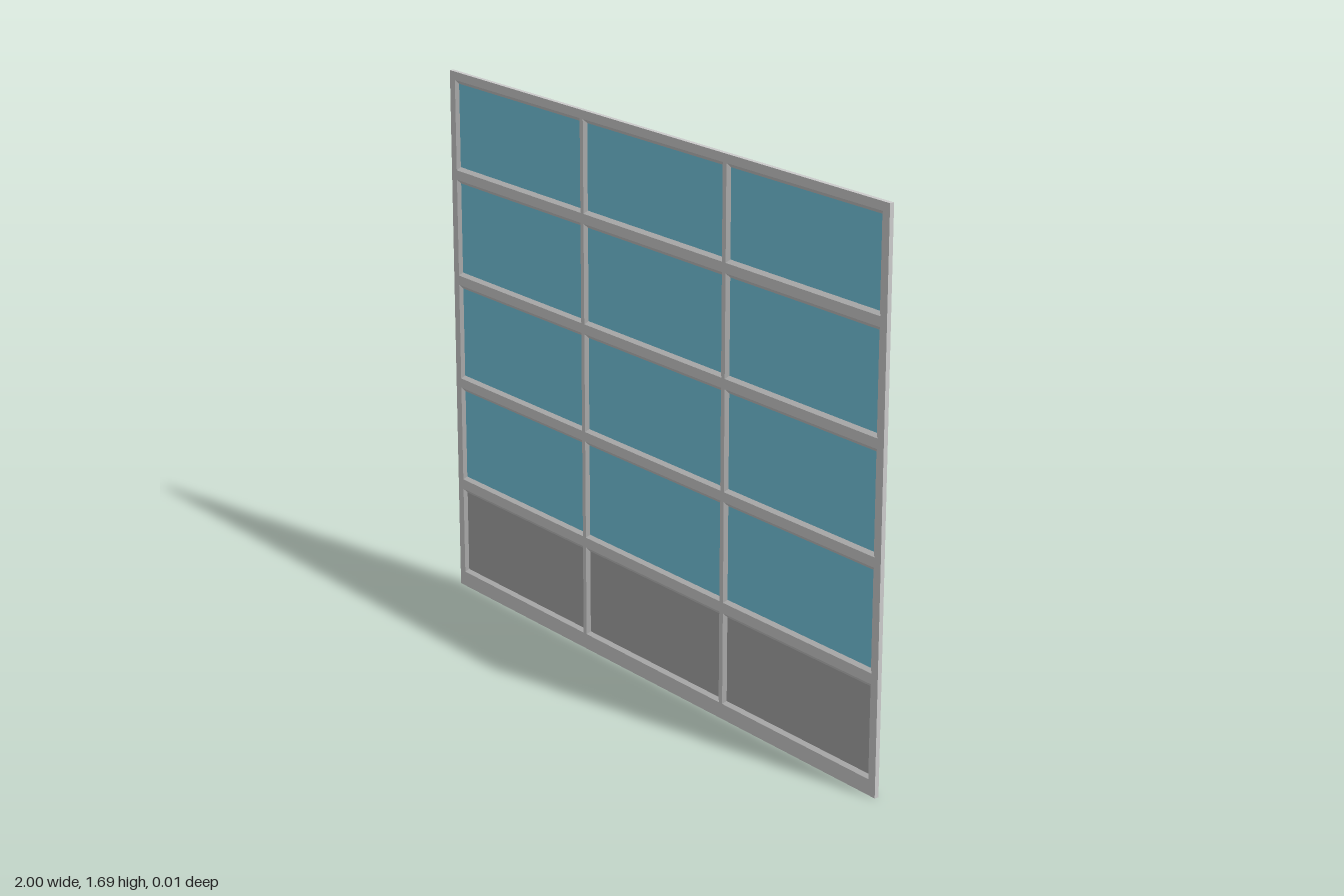
import * as THREE from 'three';

const W = 2, H = 1.69, D = 0.014;   // overall width, height, depth
const BEAD = 0.011;                 // width of the sloped glazing bead
const BACK = -D / 2, FRONT = D / 2;
const PANE_FRONT = -0.001, PANE_BACK = -0.004;

// Front outline of every opening: columns [x0, x1] and rows [y0, y1]
const columns = [[-0.974, -0.336], [-0.321, 0.321], [0.336, 0.974]];
const rows = [[0.048, 0.333], [0.365, 0.674], [0.704, 1.012], [1.042, 1.35], [1.38, 1.664]];

const rectPoints = (x0, y0, x1, y1) => [[x0, y0], [x1, y0], [x1, y1], [x0, y1]];

// Flat slab with a grid of openings, each shrunk by inset
function frameLayer(inset, z0, z1) {
  const toVectors = (p) => p.map(([x, y]) => new THREE.Vector2(x, y));
  const shape = new THREE.Shape(toVectors(rectPoints(-W / 2, 0, W / 2, H)));
  for (const [x0, x1] of columns) {
    for (const [y0, y1] of rows) {
      const p = rectPoints(x0 + inset, y0 + inset, x1 - inset, y1 - inset);
      shape.holes.push(new THREE.Path(toVectors(p).reverse()));
    }
  }
  const geometry = new THREE.ExtrudeGeometry(shape, { depth: z1 - z0, bevelEnabled: false });
  return geometry.translate(0, 0, z0);
}

// Four mitred slopes running from the frame face down to the pane
function beadGeometry(x0, y0, x1, y1) {
  const outer = rectPoints(x0, y0, x1, y1).map((p) => [...p, FRONT]);
  const inner = rectPoints(x0 + BEAD, y0 + BEAD, x1 - BEAD, y1 - BEAD).map((p) => [...p, PANE_FRONT]);
  const positions = [];
  for (let i = 0; i < 4; i++) {
    const j = (i + 1) % 4;
    for (const p of [outer[i], outer[j], inner[j], outer[i], inner[j], inner[i]]) positions.push(...p);
  }
  const geometry = new THREE.BufferGeometry();
  geometry.setAttribute('position', new THREE.Float32BufferAttribute(positions, 3));
  geometry.computeVertexNormals();
  return geometry;
}

export function createModel() {
  const group = new THREE.Group();
  const frameMaterial = new THREE.MeshStandardMaterial({ color: 0xcccccc });
  const glassMaterial = new THREE.MeshStandardMaterial({ color: 0x74c5dd });
  const panelMaterial = new THREE.MeshStandardMaterial({ color: 0xa6a6a6 });

  const add = (name, geometry, material) => {
    const mesh = new THREE.Mesh(geometry, material);
    mesh.name = name;
    group.add(mesh);
    return mesh;
  };

  // Frame: narrow bars at the front, wider bars at the back
  add('frameFront', frameLayer(0, PANE_FRONT, FRONT), frameMaterial);
  add('frameBack', frameLayer(BEAD, BACK, PANE_FRONT), frameMaterial);

  // Beads and infill: solid panels in the bottom row, glass above
  rows.forEach(([y0, y1], r) => {
    columns.forEach(([x0, x1], c) => {
      const id = `Row${r + 1}Column${c + 1}`;
      add('glazingBead' + id, beadGeometry(x0, y0, x1, y1), frameMaterial);
      const infill = new THREE.BoxGeometry(x1 - x0 - 2 * BEAD, y1 - y0 - 2 * BEAD, PANE_FRONT - PANE_BACK);
      add((r === 0 ? 'solidPanel' : 'glassPane') + id, infill, r === 0 ? panelMaterial : glassMaterial)
        .position.set((x0 + x1) / 2, (y0 + y1) / 2, (PANE_FRONT + PANE_BACK) / 2);
    });
  });

  return group;
}
